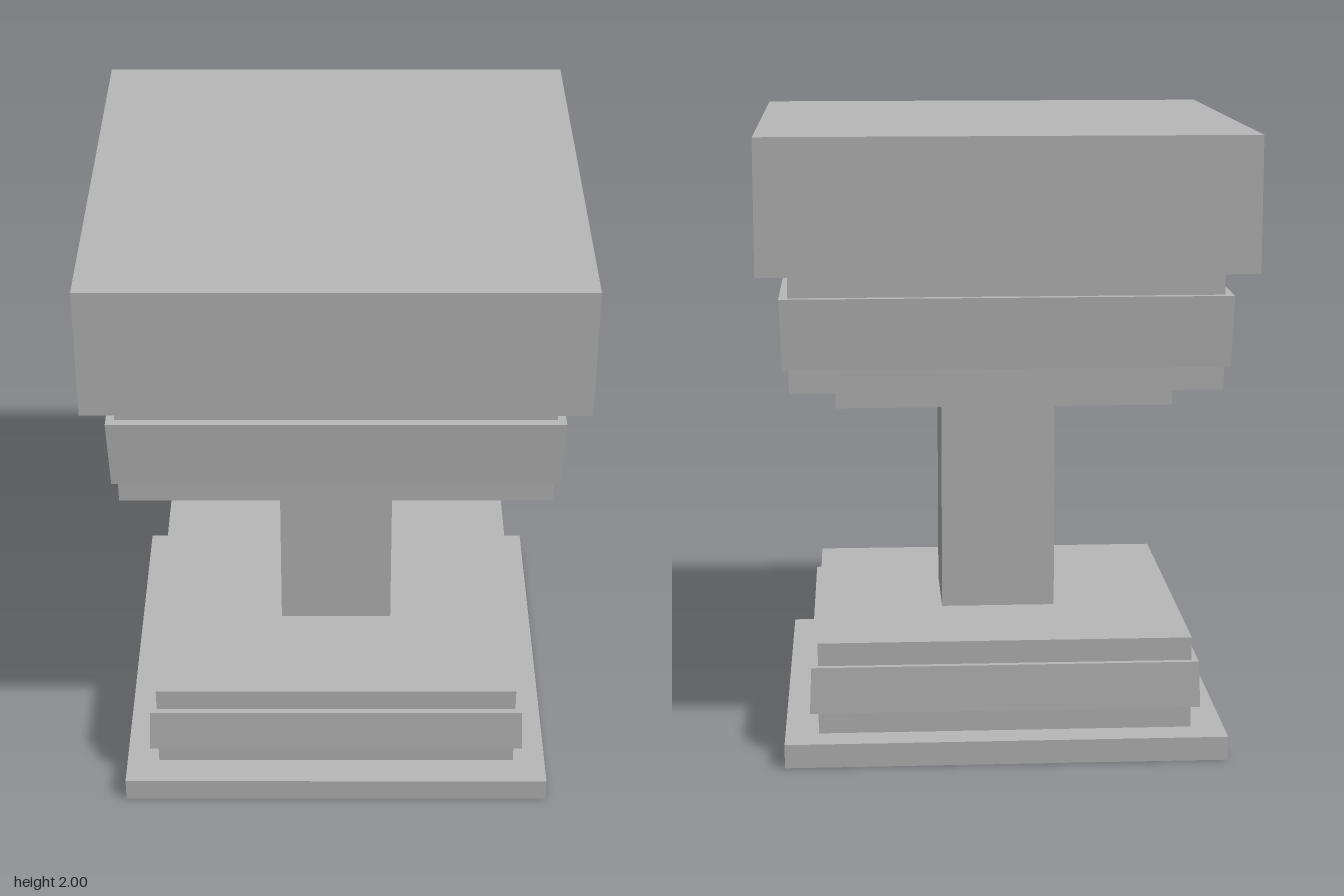
import * as THREE from 'three';

// Square slab from y0 to y1; half-widths at bottom and top may differ for a taper
function slab(name, y0, y1, halfBottom, halfTop, material) {
  const h = y1 - y0;
  const geometry = new THREE.BoxGeometry(2, h, 2);
  const p = geometry.attributes.position;
  for (let i = 0; i < p.count; i++) {
    const half = p.getY(i) > 0 ? halfTop : halfBottom;
    p.setX(i, p.getX(i) * half);
    p.setZ(i, p.getZ(i) * half);
  }
  geometry.computeVertexNormals();
  const mesh = new THREE.Mesh(geometry, material);
  mesh.name = name;
  mesh.position.y = (y0 + y1) / 2;
  return mesh;
}

export function createModel() {
  const stone = new THREE.MeshStandardMaterial({ color: 0xb8b8b8 });
  stone.name = 'grey stone';

  const group = new THREE.Group();
  group.name = 'pedestal';

  // Tiers from the ground up: name, bottom y, top y, half-width at bottom and top
  const tiers = [
    ['basePlinth', 0, 0.077, 0.707, 0.707],
    ['baseLowerStep', 0.077, 0.152, 0.6, 0.6],
    ['baseBand', 0.152, 0.302, 0.627, 0.621],
    ['baseUpperStep', 0.302, 0.377, 0.6, 0.6],
    ['column', 0.377, 1.127, 0.188, 0.188],
    ['capitalNeck', 1.127, 1.202, 0.533, 0.533],
    ['capitalLowerStep', 1.202, 1.277, 0.675, 0.675],
    ['capitalBand', 1.277, 1.5, 0.694, 0.702],
    ['capitalUpperStep', 1.5, 1.577, 0.675, 0.675],
    ['topBlock', 1.577, 2, 0.77, 0.77],
  ];
  for (const [name, y0, y1, halfBottom, halfTop] of tiers) {
    group.add(slab(name, y0, y1, halfBottom, halfTop, stone));
  }
  return group;
}
